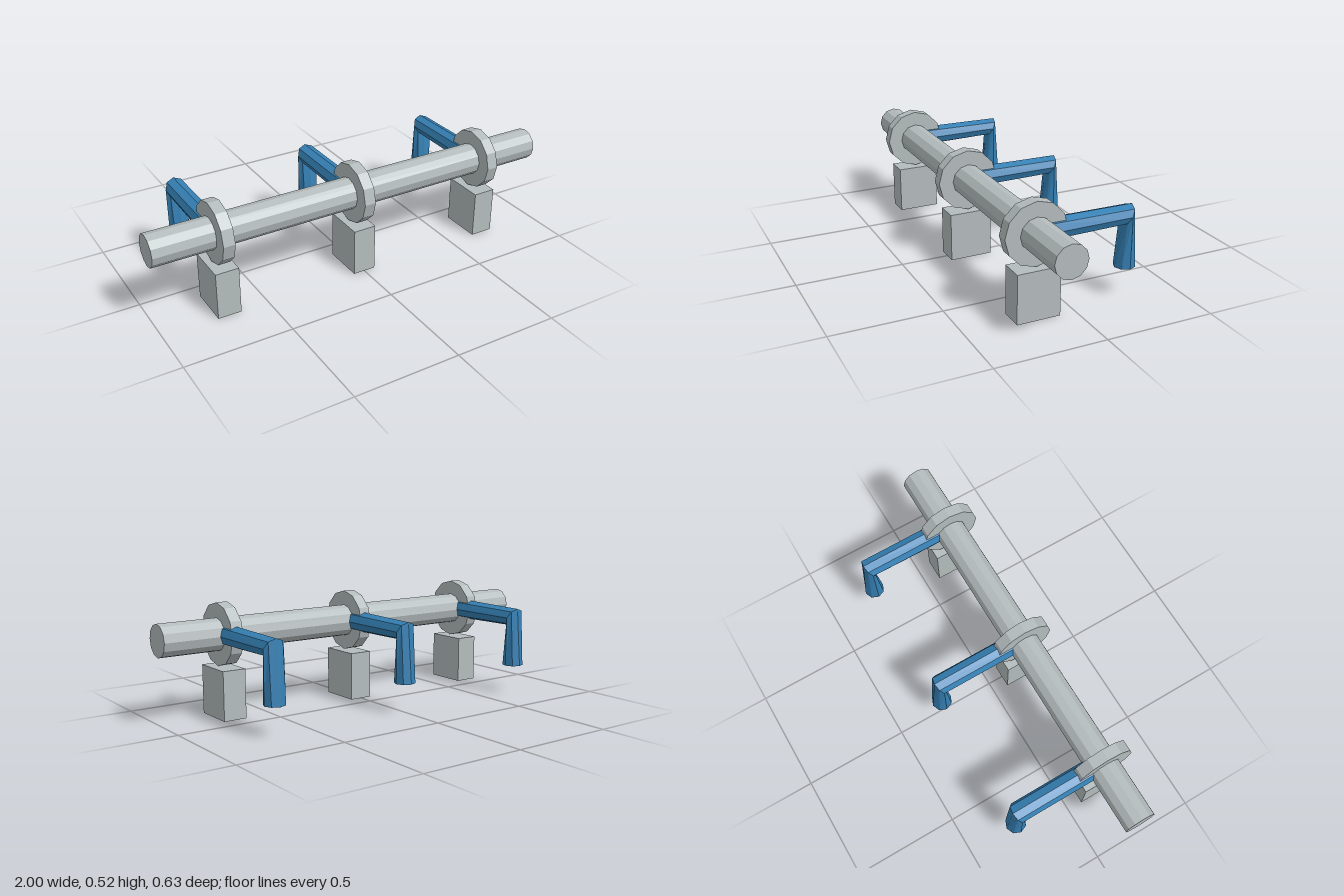
import * as THREE from 'three';

const steel = new THREE.MeshStandardMaterial({ name: 'pale steel', color: 0xb4bcbd, flatShading: true });
const blue = new THREE.MeshStandardMaterial({ name: 'pipe blue', color: 0x3580b4, flatShading: true });

const PIPE_Y = 0.375;
const PIPE_Z = 0.174;

function part(name, geometry, material, x = 0, y = 0, z = 0) {
  const mesh = new THREE.Mesh(geometry, material);
  mesh.name = name;
  mesh.position.set(x, y, z);
  return mesh;
}

// Twelve-sided bar lying along x
function barAlongX(radius, length) {
  return new THREE.CylinderGeometry(radius, radius, length, 12).rotateZ(Math.PI / 2);
}

// Eight-sided elbow pipe skinned over three tilted rings, closed at both ends
function elbowGeometry(radius = 0.049, sides = 8) {
  const rings = [
    { y: 0.376, z: 0.14, tilt: 0 },
    { y: 0.377, z: -0.266, tilt: 0.487 },
    { y: 0.138, z: -0.265, tilt: Math.PI / 2 },
  ];
  const points = [];
  const index = [];
  for (const { y, z, tilt } of rings) {
    for (let i = 0; i < sides; i++) {
      const a = (i / sides) * Math.PI * 2;
      const up = Math.sin(a) * radius;
      points.push(Math.cos(a) * radius, y + up * Math.cos(tilt), z - up * Math.sin(tilt));
    }
  }
  for (let r = 0; r < rings.length - 1; r++) {
    for (let i = 0; i < sides; i++) {
      const a = r * sides + i;
      const b = r * sides + ((i + 1) % sides);
      index.push(a, a + sides, b, b, a + sides, b + sides);
    }
  }
  const last = (rings.length - 1) * sides;
  for (let i = 1; i < sides - 1; i++) {
    index.push(0, i, i + 1);
    index.push(last, last + i + 1, last + i);
  }
  const geometry = new THREE.BufferGeometry();
  geometry.setAttribute('position', new THREE.Float32BufferAttribute(points, 3));
  geometry.setIndex(index);
  const flat = geometry.toNonIndexed();
  flat.computeVertexNormals();
  return flat;
}

export function createModel() {
  const model = new THREE.Group();
  model.name = 'pipeManifold';

  // Long main pipe
  model.add(part('mainPipe', barAlongX(0.075, 2), steel, 0, PIPE_Y, PIPE_Z));

  // Three stations: collar, support block and branch pipe
  const collar = barAlongX(0.143, 0.055);
  const block = new THREE.BoxGeometry(0.11, 0.226, 0.2);
  const elbow = elbowGeometry();
  for (const x of [-0.688, 0, 0.688]) {
    const station = new THREE.Group();
    station.name = 'station';
    station.position.x = x;
    station.add(
      part('collar', collar, steel, 0, PIPE_Y, PIPE_Z),
      part('supportBlock', block, steel, 0, 0.113, PIPE_Z),
      part('branchPipe', elbow, blue)
    );
    model.add(station);
  }
  return model;
}
